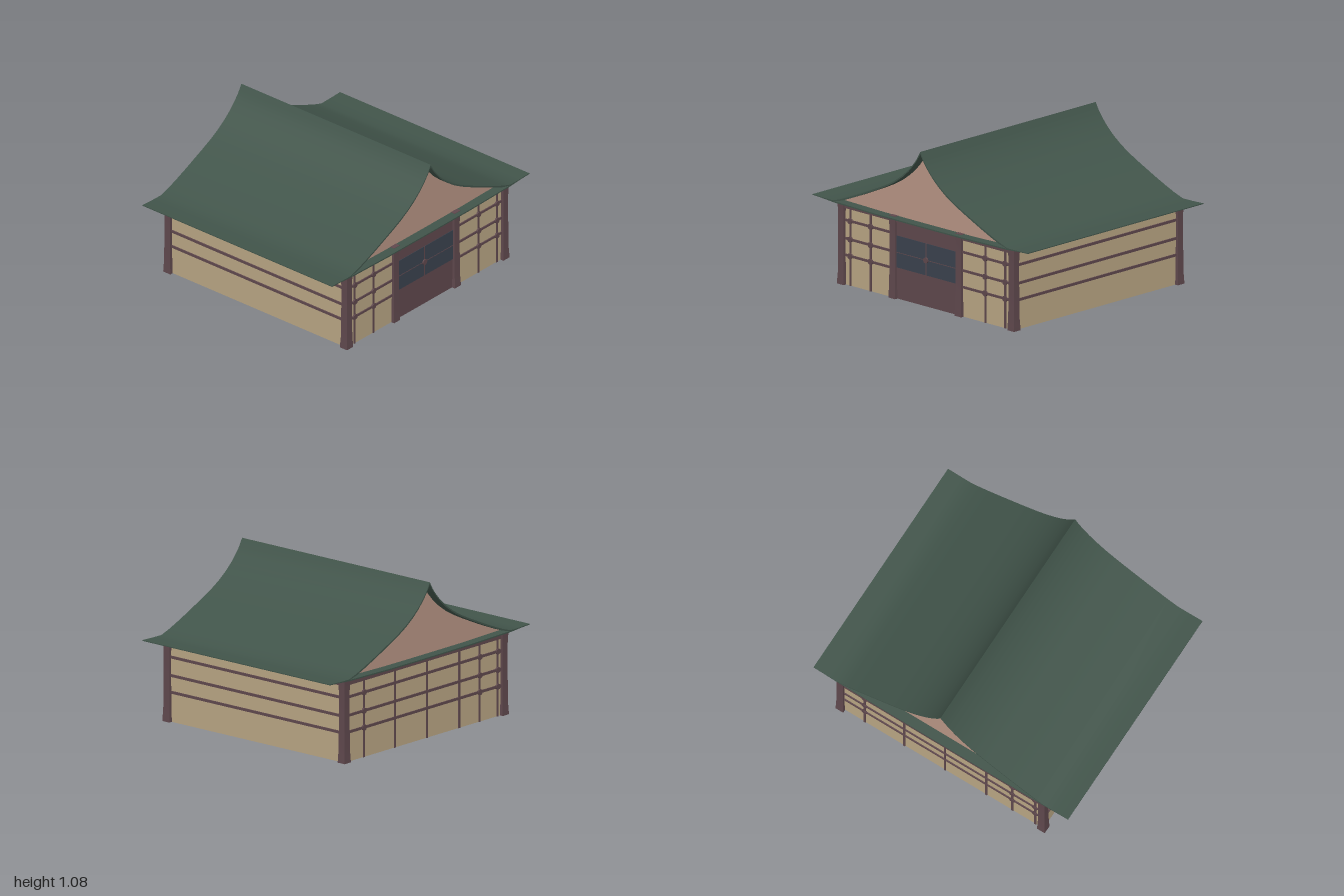
import * as THREE from 'three';
import { toCreasedNormals } from 'three/addons/utils/BufferGeometryUtils.js';

const paint = (name, color) => {
  const m = new THREE.MeshStandardMaterial({ color });
  m.name = name;
  return m;
};

export function createModel() {
  const green = paint('roof green', 0x41544a);
  const tan = paint('wall tan', 0xb8a583);
  const brown = paint('timber brown', 0x5f484d);
  const pink = paint('gable pink', 0xb79484);
  const navy = paint('window navy', 0x3a424e);

  const model = new THREE.Group();
  model.name = 'house';

  const add = (name, geometry, material, x = 0, y = 0, z = 0) => {
    const mesh = new THREE.Mesh(geometry, material);
    mesh.name = name;
    mesh.position.set(x, y, z);
    model.add(mesh);
    return mesh;
  };
  // box given by its limits on each axis
  const box = (name, material, x0, x1, y0, y1, z0, z1) =>
    add(name, new THREE.BoxGeometry(x1 - x0, y1 - y0, z1 - z0), material,
      (x0 + x1) / 2, (y0 + y1) / 2, (z0 + z1) / 2);
  const slab = (points, depth) =>
    new THREE.ExtrudeGeometry(new THREE.Shape(points.map(p => new THREE.Vector2(...p))),
      { depth, bevelEnabled: false }).translate(0, 0, -depth / 2);
  const mirror = half => half.filter(p => p[0] > 0).reverse().map(([x, y]) => [-x, y]).concat(half);

  // sweeping roof: one thin curved sheet from eave to eave
  const slope = [[0, 1.08], [0.03, 1.027], [0.064, 0.983], [0.11, 0.933], [0.166, 0.884], [0.235, 0.835],
    [0.31, 0.792], [0.39, 0.753], [0.465, 0.719], [0.56, 0.676], [0.65, 0.638], [0.73, 0.606],
    [0.81, 0.58], [0.9, 0.581], [1, 0.585]];
  const under = slope.map(([x, y], i) => [x, y - (i === 0 ? 0.018 : x > 0.8 ? 0.006 : 0.012)]);
  const roof = slab([...mirror(slope), ...mirror(under).reverse()], 1.66);
  add('roof', toCreasedNormals(roof, 0.6), green);

  // gable walls and the curved eave boards below them
  const gableTop = under.filter(p => p[0] < 0.8).map(([x, y]) => [x, y + 0.004]);
  const gable = [[-0.8, 0.566], ...mirror(gableTop), [0.8, 0.566]];
  const boardTop = [[0, 0.567], [0.4, 0.568], [0.8, 0.576], [0.98, 0.583]];
  const boardBottom = [[0, 0.558], [0.4, 0.559], [0.8, 0.567], [0.98, 0.58]];
  const board = [...mirror(boardTop), ...mirror(boardBottom).reverse()];
  for (const s of [1, -1]) {
    add('gable', slab(gable, 0.01), pink, 0, 0, s * 0.755);
    add('eaveBoard', slab(board, 0.08), green, 0, 0, s * 0.79);
  }

  // wall lines through the post centres
  const L = -0.777, R = 0.807, F = 0.765, B = -0.785, half = 0.006;
  box('rightWall', tan, L - half, L + half, 0, 0.55, B, F);
  box('leftWall', tan, R - half, R + half, 0, 0.55, B, F);
  box('backWall', tan, L, R, 0, 0.55, B - half, B + half);
  box('frontWallRight', tan, L, -0.3, 0, 0.55, F - half, F + half);
  box('frontWallLeft', tan, 0.315, R, 0, 0.55, F - half, F + half);

  // posts: square, flared at foot and head
  const sections = [[0, 0.031], [0.03, 0.03], [0.08, 0.027], [0.3, 0.025], [0.48, 0.025], [0.57, 0.029]];
  const profile = [[0, 0], ...sections.map(([y, r]) => [r * Math.SQRT2, y]), [0, 0.57]];
  const postShape = new THREE.LatheGeometry(profile.map(([r, y]) => new THREE.Vector2(r, y)), 4)
    .rotateY(Math.PI / 4);
  const postGeo = toCreasedNormals(postShape, 0.5);
  for (const [x, z] of [[L, F], [R, F], [L, B], [R, B], [-0.3, F], [0.315, F]])
    add('post', postGeo, brown, x, 0, z);

  // top beams
  for (const z of [F, B]) box('topBeam', brown, L, R, 0.53, 0.565, z - 0.018, z + 0.018);
  for (const x of [L, R]) box('sideTopBeam', brown, x - 0.018, x + 0.018, 0.53, 0.565, B, F);

  // rails run through the walls and show on both faces
  const rails = [0.205, 0.32, 0.447];
  const d = 0.014;
  for (const y of rails) {
    for (const x of [L, R]) box('sideRail', brown, x - d, x + d, y - 0.009, y + 0.009, B, F);
    box('backRail', brown, L, R, y - 0.009, y + 0.009, B - d, B + d);
    box('frontRail', brown, L, -0.3, y - 0.008, y + 0.008, F - d, F + d);
    box('frontRail', brown, 0.315, R, y - 0.008, y + 0.008, F - d, F + d);
  }

  // uprights with round pegs at the crossings
  const pegGeo = new THREE.CylinderGeometry(0.021, 0.021, 0.036, 8).rotateX(Math.PI / 2);
  const uprights = (xs, z, pegged) => xs.forEach(x => {
    box('upright', brown, x - 0.007, x + 0.007, 0, 0.54, z - 0.012, z + 0.012);
    if (pegged.includes(x)) for (const y of rails) add('peg', pegGeo, brown, x, y, z);
  });
  uprights([-0.705, -0.515, 0.55, 0.735], F, [-0.705, -0.515, 0.55, 0.735]);
  uprights([0.62, 0.31, -0.01, -0.335, -0.54, -0.72], B, [0.62, -0.54, -0.72]);

  // door panel with a four-pane window showing on both faces
  box('door', brown, -0.3, 0.315, 0, 0.55, F - half, F + half);
  for (const z of [F + half + 0.001, F - half - 0.001]) {
    box('window', navy, -0.277, 0.292, 0.215, 0.435, z - 0.002, z + 0.002);
    box('windowMullion', brown, -0.003, 0.003, 0.215, 0.435, z - 0.004, z + 0.004);
    box('windowBar', brown, -0.277, 0.292, 0.318, 0.322, z - 0.004, z + 0.004);
  }
  add('windowPeg', pegGeo, brown, 0, 0.32, F);

  return model;
}
